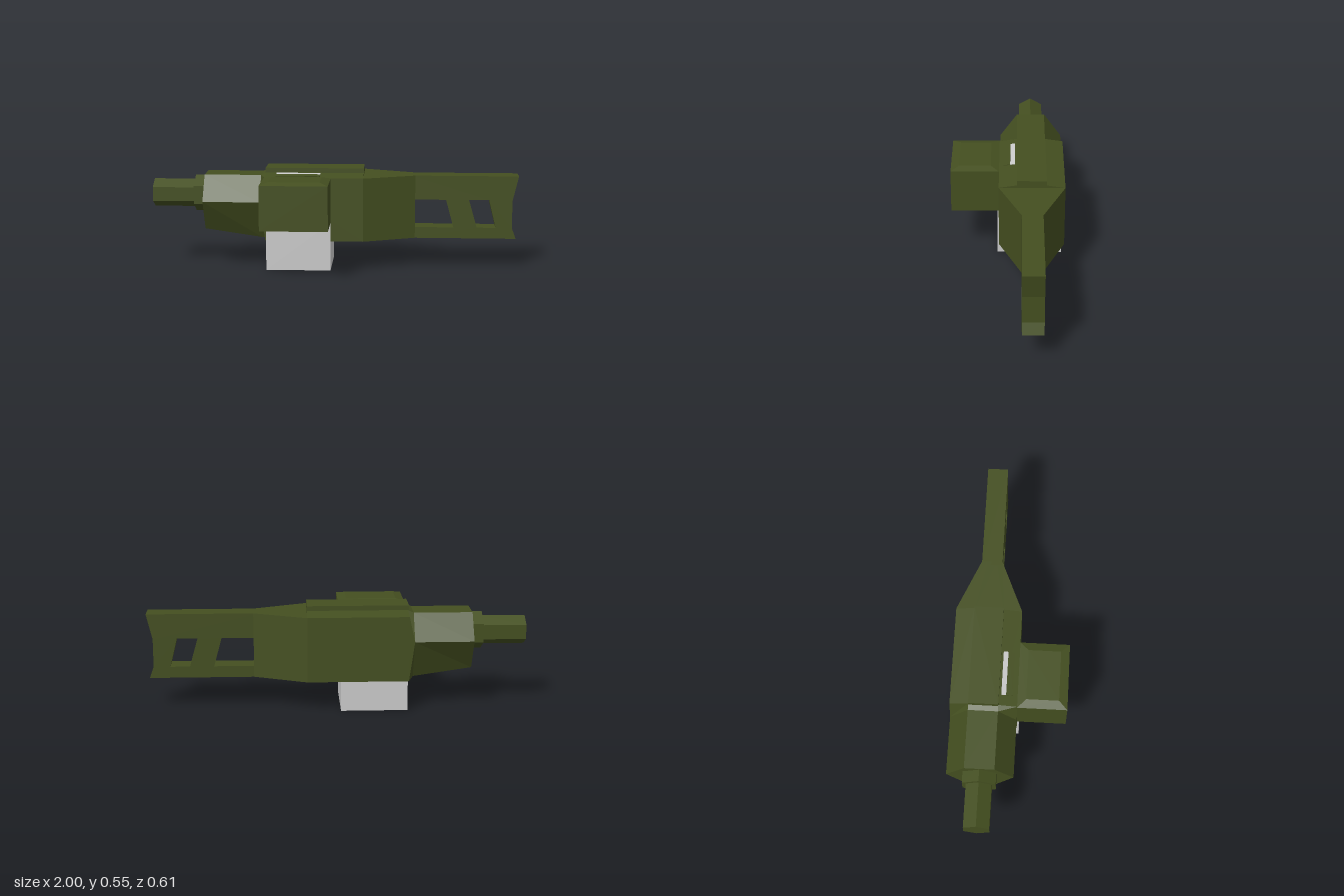
import * as THREE from 'three';

const ZC = -0.13; // long axis of the main body

export function createModel() {
  const root = new THREE.Group();
  const olive = new THREE.MeshStandardMaterial({ color: 0x444f20, flatShading: true });
  const grey = new THREE.MeshStandardMaterial({ color: 0xcccccc, flatShading: true });

  const add = (name, geometry, material = olive) => {
    const mesh = new THREE.Mesh(geometry, material);
    mesh.name = name;
    root.add(mesh);
    return mesh;
  };

  // box given by its limits on each axis
  const box = (name, [x0, x1], [y0, y1], [z0, z1], material) => {
    const mesh = add(name, new THREE.BoxGeometry(x1 - x0, y1 - y0, z1 - z0), material);
    mesh.position.set((x0 + x1) / 2, (y0 + y1) / 2, (z0 + z1) / 2);
    return mesh;
  };

  // mirrored cross-section at x from a half profile of [half width, y], top to bottom
  const section = (x, half) => [
    ...half.map(([w, y]) => new THREE.Vector3(x, y, ZC + w)),
    ...half.slice().reverse().map(([w, y]) => new THREE.Vector3(x, y, ZC - w)),
  ];

  // skin a row of cross-sections and cap both ends
  const loft = (rings) => {
    const pos = [];
    const tri = (a, b, c) => {
      const area = b.clone().sub(a).cross(c.clone().sub(a)).length();
      if (area > 1e-8) for (const p of [a, b, c]) pos.push(p.x, p.y, p.z);
    };
    const n = rings[0].length;
    for (let i = 0; i + 1 < rings.length; i++) {
      for (let j = 0; j < n; j++) {
        const k = (j + 1) % n;
        const r = rings[i], s = rings[i + 1];
        tri(r[j], r[k], s[k]);
        tri(r[j], s[k], s[j]);
      }
    }
    const first = rings[0], last = rings[rings.length - 1];
    for (let j = 1; j + 1 < n; j++) {
      tri(first[0], first[j + 1], first[j]);
      tri(last[0], last[j], last[j + 1]);
    }
    const g = new THREE.BufferGeometry();
    g.setAttribute('position', new THREE.Float32BufferAttribute(pos, 3));
    g.computeVertexNormals();
    return g;
  };

  // body: six-sided nose, boxy middle with a sloped roof, taper to the stock
  const nose = (x, bottom) => section(x, [[0.078, 0.505], [0.175, 0.37], [0.175, 0.37], [0.078, bottom]]);
  const block = (x, w, top) => section(x, [[w * 0.445, top], [w, 0.505], [w, 0.16], [w * 0.445, 0.16]]);
  add('body', loft([
    nose(-0.71, 0.205), nose(-0.4, 0.16),
    block(-0.37, 0.175, 0.52), block(0.16, 0.175, 0.52),
    block(0.16, 0.175, 0.505), block(0.44, 0.055, 0.505),
  ]));
  box('topRail', [-0.375, 0.16], [0.5, 0.545], [-0.207, -0.052]);

  // stock plate with two slanted openings
  const outline = (Type, pts) => new Type(pts.map(([x, y]) => new THREE.Vector2(x, y)));
  const plate = outline(THREE.Shape, [
    [0.42, 0.16], [0.99, 0.16], [0.968, 0.22], [0.968, 0.37], [1, 0.505], [0.42, 0.505],
  ]);
  plate.holes.push(
    outline(THREE.Path, [[0.44, 0.22], [0.44, 0.373], [0.608, 0.373], [0.65, 0.22]]),
    outline(THREE.Path, [[0.777, 0.22], [0.733, 0.373], [0.842, 0.373], [0.88, 0.22]]),
  );
  const stock = new THREE.ExtrudeGeometry(plate, { depth: 0.11, bevelEnabled: false });
  add('stock', stock.translate(0, 0, ZC - 0.055));

  // hexagonal collar and barrel along x
  const hexRod = (name, x0, x1, radius) => {
    const g = new THREE.CylinderGeometry(radius, radius, x1 - x0, 6, 1, false, Math.PI / 6);
    add(name, g.rotateZ(Math.PI / 2)).position.set((x0 + x1) / 2, 0.392, ZC);
  };
  hexRod('barrelCollar', -0.77, -0.7, 0.1);
  hexRod('barrel', -1, -0.76, 0.077);

  // side housing with a chamfered lid
  box('sideHousing', [-0.375, -0.015], [0.265, 0.505], [0.03, 0.305]);
  const lid = new THREE.BoxGeometry(0.36, 0.013, 0.26);
  const p = lid.attributes.position;
  for (let i = 0; i < p.count; i++) {
    if (p.getY(i) > 0) {
      p.setX(i, p.getX(i) * 0.75);
      p.setZ(i, p.getZ(i) * 0.654);
    }
  }
  lid.computeVertexNormals();
  add('sideHousingLid', lid).position.set(-0.195, 0.5115, 0.175);

  // magazine block below
  box('magazine', [-0.365, -0.015], [0, 0.265], [-0.297, 0.055], grey);

  // slot on the roof slope with a light insert
  const slot = box('roofSlot', [-0.313, -0.075], [0.508, 0.515], [-0.015, 0.02]);
  const insert = box('roofSlotInsert', [-0.313, -0.075], [0.512, 0.519], [-0.04, -0.015], grey);
  slot.rotation.x = insert.rotation.x = 0.153;

  return root;
}
